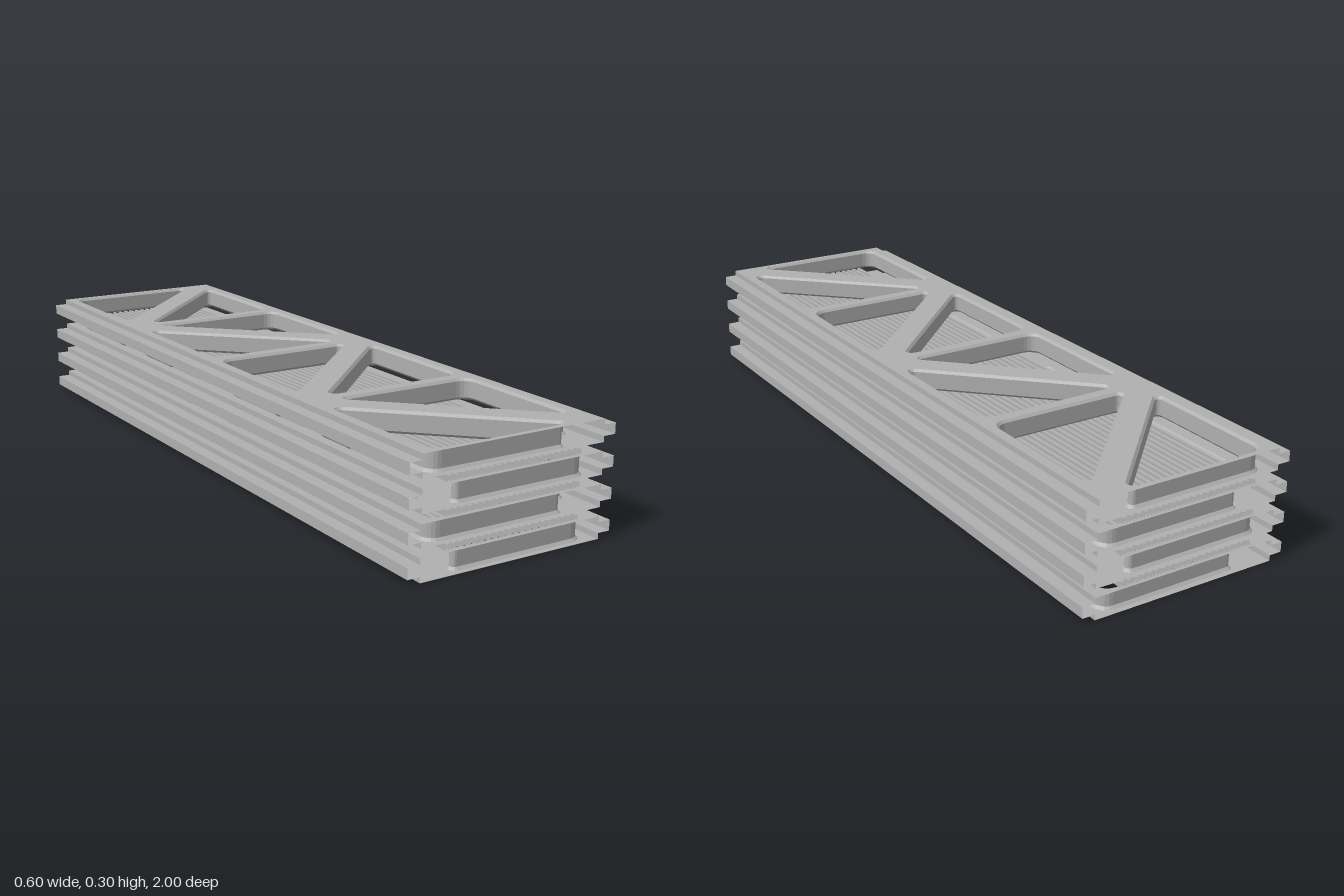
import * as THREE from 'three';
import { mergeGeometries } from 'three/addons/utils/BufferGeometryUtils.js';

const PANEL_H = 0.058, PITCH = 0.0813, EDGE = 0.265, RAIL = 0.3, LIP = 0.007;

// Skin between successive rings of points, flat shaded
function loft(rings, closed) {
  const pos = [];
  for (let r = 0; r + 1 < rings.length; r++) {
    const a = rings[r], b = rings[r + 1], n = a.length;
    for (let i = 0; i < (closed ? n : n - 1); i++) {
      const j = (i + 1) % n;
      pos.push(...a[i], ...a[j], ...b[j], ...a[i], ...b[j], ...b[i]);
    }
  }
  const g = new THREE.BufferGeometry();
  g.setAttribute('position', new THREE.Float32BufferAttribute(pos, 3));
  g.computeVertexNormals();
  return g;
}

// Open-ended extrusion of an [x, y] section along the full length
const extrudeZ = (pts, closed) =>
  loft([1, -1].map(z => pts.map(([x, y]) => [x, y, z])), closed);

// Rounded polygon in [x, z]; inset shrinks the corner arcs about their centres
function roundedOutline(corners, radii, inset) {
  const out = [], n = corners.length, V = (p) => new THREE.Vector2(...p);
  for (let i = 0; i < n; i++) {
    const c = V(corners[i]);
    const u = V(corners[(i + n - 1) % n]).sub(c).normalize();
    const w = V(corners[(i + 1) % n]).sub(c).normalize();
    const half = Math.acos(u.dot(w)) / 2, r = radii[i];
    const centre = u.clone().add(w).normalize().multiplyScalar(r / Math.sin(half)).add(c);
    const from = u.clone().multiplyScalar(r / Math.tan(half)).add(c).sub(centre);
    const to = w.clone().multiplyScalar(r / Math.tan(half)).add(c).sub(centre);
    const a0 = from.angle();
    let sweep = to.angle() - a0;
    sweep = Math.atan2(Math.sin(sweep), Math.cos(sweep));
    for (let k = 0; k <= 5; k++) {
      const a = a0 + sweep * k / 5;
      out.push([centre.x + Math.cos(a) * (r - inset), centre.y + Math.sin(a) * (r - inset)]);
    }
  }
  return out;
}

// The eight triangular openings of a panel, two per bay, as functions of inset
function openings(mirror) {
  const list = [], base = [[-0.237, -0.235], [-0.237, 0.185], [0.19, -0.235]];
  for (let bay = 0; bay < 4; bay++) {
    const s = mirror * (bay % 2 ? -1 : 1), zc = -0.75 + bay * 0.5;
    for (const t of [1, -1]) {
      const tri = base.map(([x, z]) => [x * s * t, z * t + zc]);
      const radii = [0.04, 0.018, 0.018];
      if (s < 0) { tri.reverse(); radii.reverse(); }
      list.push(inset => roundedOutline(tri, radii, inset));
    }
  }
  return list;
}

// Horizontal skin pierced by the openings, facing up (1) or down (-1)
function skin(holes, y, up) {
  const path = pts => pts.map(([x, z]) => new THREE.Vector2(x, -up * z));
  const shape = new THREE.Shape(path([[-EDGE, -1], [EDGE, -1], [EDGE, 1], [-EDGE, 1]]));
  shape.holes = holes.map(h => new THREE.Path(path(h(0))));
  return new THREE.ShapeGeometry(shape).rotateX(-up * Math.PI / 2).translate(0, y, 0);
}

export function createModel() {
  const root = new THREE.Group();
  root.name = 'panelStack';
  const metal = new THREE.MeshStandardMaterial({ color: 0xb0b0b0, side: THREE.DoubleSide });
  metal.name = 'grey metal';
  const add = (parent, name, geo) => {
    const m = new THREE.Mesh(geo, metal);
    m.name = name;
    parent.add(m);
  };

  // Truss panels, alternately mirrored
  for (let p = 0; p < 4; p++) {
    const panel = new THREE.Group();
    panel.name = 'trussPanel' + (p + 1);
    panel.position.y = p * PITCH;
    root.add(panel);
    const holes = openings(p % 2 ? 1 : -1);
    add(panel, 'topSkin', skin(holes, PANEL_H, 1));
    add(panel, 'bottomSkin', skin(holes, 0, -1));

    // Opening walls with a flared lip at both skins
    const levels = [[PANEL_H, 0], [PANEL_H - LIP, LIP], [LIP, LIP], [0, 0]];
    add(panel, 'openingWalls', mergeGeometries(holes.map(h =>
      loft(levels.map(([y, d]) => h(d).map(([x, z]) => [x, y, z])), true))));

    // Side walls with a projecting rail at mid height
    const mid = PANEL_H / 2, r = 0.014;
    const side = [[EDGE, PANEL_H], [EDGE, mid + r], [RAIL, mid + r],
      [RAIL, mid - r], [EDGE, mid - r], [EDGE, 0]];
    add(panel, 'leftRail', extrudeZ(side, false));
    add(panel, 'rightRail', extrudeZ(side.map(([x, y]) => [-x, y]).reverse(), false));
  }

  // Open-ended slats in the gaps between panels
  for (let p = 0; p < 3; p++) {
    const y = p * PITCH + (PANEL_H + PITCH) / 2, w = 0.005, h = 0.008, slats = [];
    for (let i = 0; i < 20; i++) {
      const x = -0.19 + i * 0.02;
      slats.push(extrudeZ([[x + w, y + h], [x + w, y - h], [x - w, y - h], [x - w, y + h]], true));
    }
    add(root, 'slatLayer' + (p + 1), mergeGeometries(slats));
  }
  return root;
}
